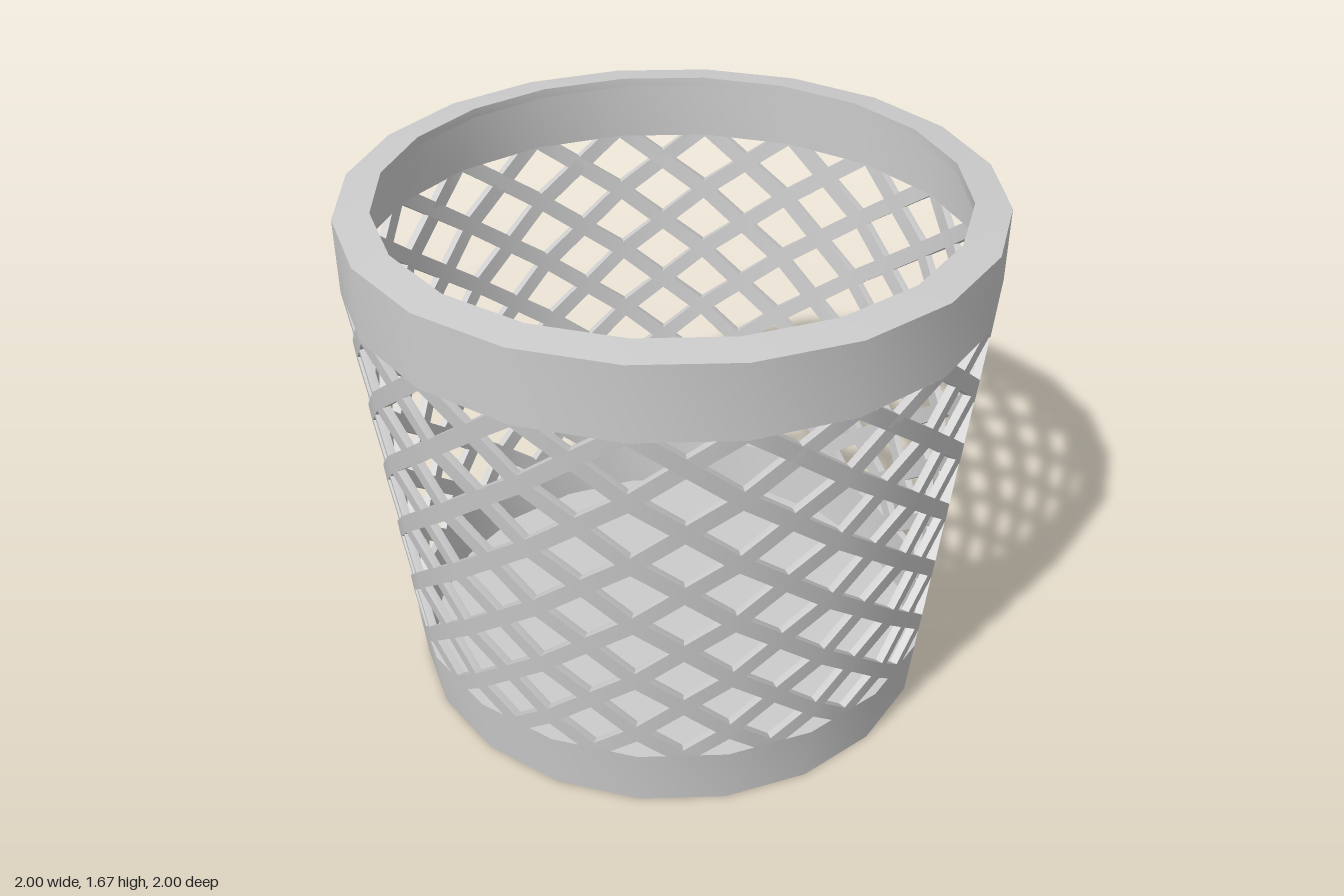
import * as THREE from 'three';
import { toCreasedNormals } from 'three/addons/utils/BufferGeometryUtils.js';

const SIDES = 20;
const CREASE = 0.5;
const LOW = 0.2, HIGH = 1.43;    // lattice runs between these heights
const PITCH = 0.23;              // rise of a strand per side of the basket
const NODE = 0.305;              // height of the lowest crossing on a corner
const STRAND = 0.066, THICK = 0.025;

const wallRadius = (y) => 0.86 + 0.098 * y;

// Point on the tapering 20-sided wall; u counts sides around from the front
function wallPoint(u, y, inset) {
  const r = wallRadius(y) - inset;
  const corner = (i) => {
    const a = (i / SIDES) * Math.PI * 2;
    return new THREE.Vector3(r * Math.sin(a), y, r * Math.cos(a));
  };
  const i = Math.floor(u);
  return corner(i).lerp(corner(i + 1), u - i);
}

// One diagonal strand, trimmed flush with the bands and bent at each corner
function addStrand(positions, start, dir) {
  const at = (y) => (y - NODE) / PITCH;
  const h = STRAND / 2;
  const first = at(LOW - h) + 0.01, last = at(HIGH + h) - 0.01;
  const steps = [first, at(LOW + h), at(HIGH - h), last];
  for (let k = Math.ceil(first); k < last; k++) steps.push(k);
  steps.sort((a, b) => a - b);

  const rings = steps.map((k) => {
    const u = start + dir * k, y = NODE + PITCH * k;
    const y0 = Math.max(LOW, y - h), y1 = Math.min(HIGH, y + h);
    return [wallPoint(u, y0, 0), wallPoint(u, y1, 0), wallPoint(u, y1, THICK), wallPoint(u, y0, THICK)];
  });
  for (let i = 0; i < rings.length - 1; i++) {
    for (let j = 0; j < 4; j++) {
      const n = (j + 1) % 4;
      const a = rings[i][j], b = rings[i + 1][j], c = rings[i + 1][n], d = rings[i][n];
      const corners = dir > 0 ? [a, b, c, a, c, d] : [a, c, b, a, d, c];
      corners.forEach((p) => positions.push(p.x, p.y, p.z));
    }
  }
}

export function createModel() {
  const group = new THREE.Group();
  const material = new THREE.MeshStandardMaterial({ color: 0xcccccc });
  const add = (name, geometry) => {
    const mesh = new THREE.Mesh(toCreasedNormals(geometry, CREASE), material);
    mesh.name = name;
    group.add(mesh);
  };
  const turned = (profile) =>
    new THREE.LatheGeometry(profile.map(([r, y]) => new THREE.Vector2(r, y)), SIDES);

  // Solid floor with its low band
  add('base', turned([
    [0, 0], [wallRadius(0), 0], [wallRadius(LOW), LOW], [wallRadius(LOW) - THICK, LOW],
    [wallRadius(0) - THICK, 0.015], [0, 0.015],
  ]));

  // Upper band with an inward lip
  add('rim', turned([
    [0.972, HIGH], [1, HIGH], [1, 1.662], [0.89, 1.674], [0.89, 1.645], [0.972, 1.645], [0.972, HIGH],
  ]));

  // Woven lattice: strands leaning both ways from every corner
  const positions = [];
  for (let i = 0; i < SIDES; i++) {
    addStrand(positions, i, 1);
    addStrand(positions, i, -1);
  }
  const lattice = new THREE.BufferGeometry();
  lattice.setAttribute('position', new THREE.Float32BufferAttribute(positions, 3));
  add('lattice', lattice);

  return group;
}
